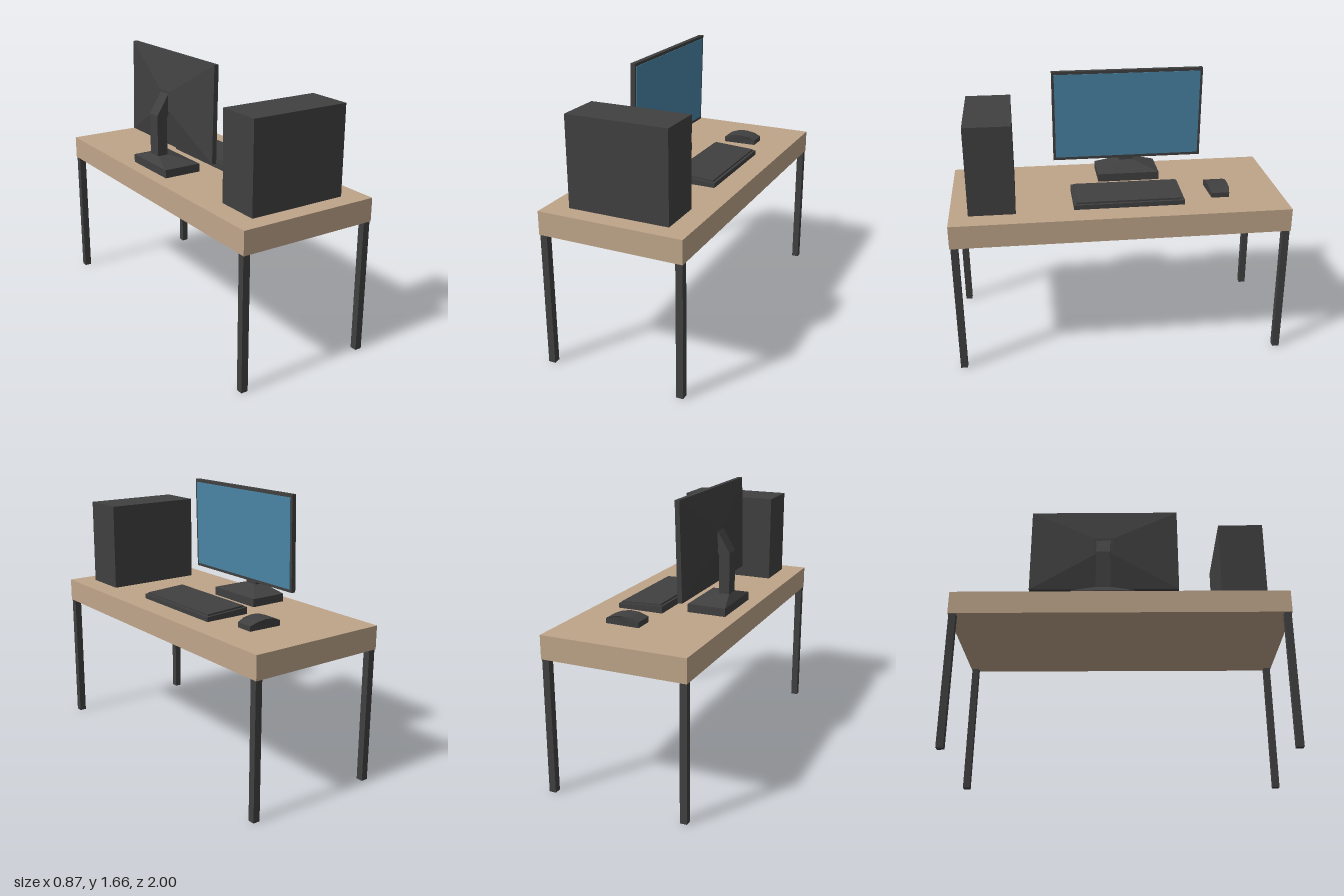
import * as THREE from 'three';

export function createModel() {
  const model = new THREE.Group();
  model.name = 'computerDesk';

  const material = (name, color) => {
    const m = new THREE.MeshStandardMaterial({ color });
    m.name = name;
    return m;
  };
  const wood = material('wood', 0xbfa58a);
  const dark = material('darkPlastic', 0x404040);
  const blue = material('screenBlue', 0x4a86a6);

  const add = (name, geometry, mat, parent = model) => {
    const mesh = new THREE.Mesh(geometry, mat);
    mesh.name = name;
    parent.add(mesh);
    return mesh;
  };

  // Box given by its minimum and maximum corners
  const box = (x0, x1, y0, y1, z0, z1) =>
    new THREE.BoxGeometry(x1 - x0, y1 - y0, z1 - z0)
      .translate((x0 + x1) / 2, (y0 + y1) / 2, (z0 + z1) / 2);

  // Move the vertices of a geometry by a rule, then refresh its normals
  const reshape = (geometry, rule) => {
    const p = geometry.attributes.position;
    const v = new THREE.Vector3();
    for (let i = 0; i < p.count; i++) {
      rule(v.fromBufferAttribute(p, i));
      p.setXYZ(i, v.x, v.y, v.z);
    }
    geometry.computeVertexNormals();
    return geometry;
  };

  // Block standing on y = 0 whose top is the rectangle [x0, x1, z0, z1]
  const frustum = (b, t, h) =>
    reshape(new THREE.BoxGeometry(1, h, 1).translate(0, h / 2, 0), (v) => {
      const r = v.y > h / 2 ? t : b;
      v.x = v.x < 0 ? r[0] : r[1];
      v.z = v.z < 0 ? r[2] : r[3];
    });

  // Side profile in x and y, extruded from z0 to z1
  const extrude = (points, z0, z1) =>
    new THREE.ExtrudeGeometry(
      new THREE.Shape(points.map(([x, y]) => new THREE.Vector2(x, y))),
      { depth: z1 - z0, bevelEnabled: false }
    ).translate(0, 0, z0);

  // Table
  add('tableTop', box(-0.436, 0.436, 0.81, 0.95, -1, 1), wood);
  for (const sx of [-1, 1]) {
    for (const sz of [-1, 1]) {
      const leg = add('tableLeg', new THREE.BoxGeometry(0.042, 0.81, 0.042), dark);
      leg.position.set(sx * 0.412, 0.405, sz * 0.973);
    }
  }

  // Computer case
  add('computerCase', box(-0.305, 0.305, 0.95, 1.485, 0.615, 0.89), dark);

  // Monitor panel, leaning slightly forward
  const monitor = new THREE.Group();
  monitor.name = 'monitor';
  monitor.position.set(-0.174, 1.37, -0.1);
  monitor.rotation.z = -0.026;
  model.add(monitor);
  add('monitorFrame', box(-0.028, 0, -0.285, 0.285, -0.465, 0.465), dark, monitor);
  add('screen', box(-0.002, 0.003, -0.267, 0.267, -0.45, 0.45), blue, monitor);
  const back = frustum([-0.285, 0.285, -0.465, 0.465], [-0.06, 0.06, -0.06, 0.06], 0.042);
  add('monitorBack', back.rotateZ(Math.PI / 2).translate(-0.028, 0, 0), dark, monitor);

  // Monitor stand: foot, sloped cover and bent arm
  const stand = new THREE.Group();
  stand.name = 'monitorStand';
  model.add(stand);
  const foot = [-0.355, -0.12, -0.295, 0.09];
  add('standFoot', box(foot[0], foot[1], 0.95, 1.0, foot[2], foot[3]), dark, stand);
  const cover = frustum(foot, [-0.32, -0.25, -0.147, -0.058], 0.042);
  add('standCover', cover.translate(0, 1.0, 0), dark, stand);
  add('standArm', extrude([
    [-0.32, 1.03], [-0.255, 1.03], [-0.255, 1.27],
    [-0.225, 1.33], [-0.225, 1.42], [-0.24, 1.42], [-0.32, 1.29],
  ], -0.147, -0.058), dark, stand);

  // Keyboard: wedge body with a raised key bed
  add('keyboardBody', extrude([
    [0.003, 0.95], [0.29, 0.95], [0.29, 0.978], [0.003, 0.992],
  ], -0.385, 0.275), dark);
  add('keyBed', extrude([
    [0.018, 0.96], [0.275, 0.96], [0.275, 0.989], [0.018, 1.002],
  ], -0.37, 0.26), dark);

  // Mouse: arched profile, narrower towards the end
  add('mouse', reshape(extrude([
    [0.003, 0.95], [0.212, 0.95], [0.212, 0.98], [0.165, 0.998],
    [0.11, 1.006], [0.06, 1.003], [0.003, 0.983],
  ], -0.68, -0.557), (v) => {
    if (v.x > 0.2) v.z = -0.6185 + (v.z + 0.6185) * 0.88;
  }), dark);

  return model;
}
